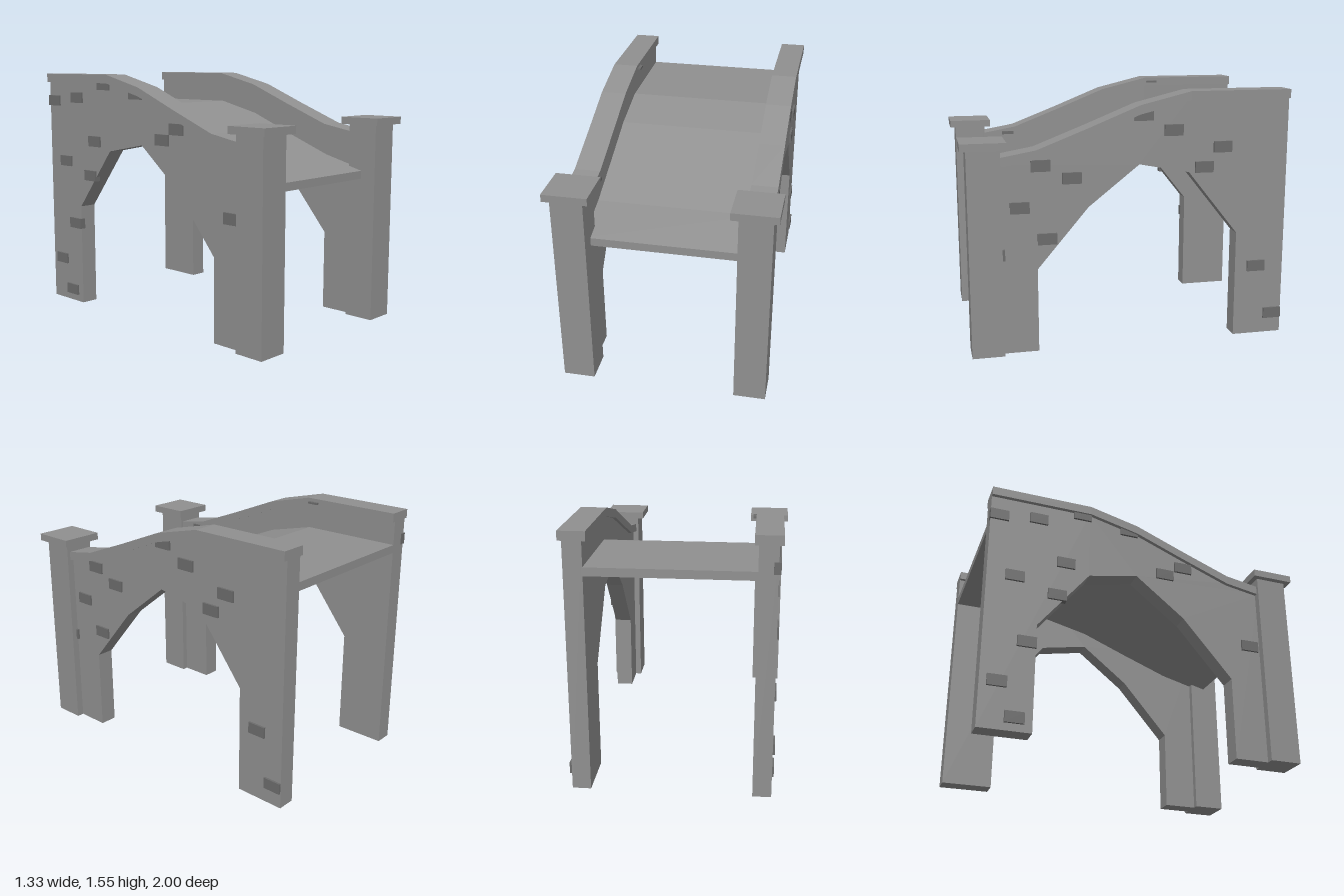
import * as THREE from 'three';

const masonry = new THREE.MeshStandardMaterial({ color: 0x909090, flatShading: true });
const darkStone = new THREE.MeshStandardMaterial({ color: 0x6c6c6c, flatShading: true });

// Height line of the parapet top, as [z, y] from front to back
const crest = [[0.79, 1.195], [0.56, 1.235], [0.25, 1.355], [-0.06, 1.48], [-0.37, 1.555], [-1, 1.555]];
const shifted = (line, dy) => line.map(([z, y]) => [z, y + dy]);

// Extrudes a [z, y] outline across x, centred on the given x
function slab(name, outline, width, x) {
  const shape = new THREE.Shape(outline.map(([z, y]) => new THREE.Vector2(z, y)));
  const geometry = new THREE.ExtrudeGeometry(shape, { depth: width, bevelEnabled: false });
  geometry.translate(0, 0, -width / 2).rotateY(-Math.PI / 2);
  const mesh = new THREE.Mesh(geometry, masonry);
  mesh.name = name;
  mesh.position.x = x;
  return mesh;
}

// Outline of a band that follows a line with constant vertical thickness
const band = (line, thickness) => [...line, ...shifted(line, -thickness).reverse()];

function box(name, material, w, h, d, x, y, z) {
  const mesh = new THREE.Mesh(new THREE.BoxGeometry(w, h, d), material);
  mesh.name = name;
  mesh.position.set(x, y, z);
  return mesh;
}

// Raised stones on the outer faces, as [z, y]
const leftStones = [[-0.085, 1.42], [-0.27, 1.325], [-0.58, 1.215], [-0.465, 1.095], [0.535, 1.14],
  [0.35, 1.06], [0.66, 0.895], [0.5, 0.7], [0.81, 0.615], [-0.82, 0.45], [-0.94, 0.13]];
const rightStones = [[-0.79, 0.08], [-0.9, 0.285], [-0.74, 0.55], [-0.57, 0.89], [-0.52, 1.12],
  [-0.83, 0.97], [-0.945, 1.375], [-0.7, 1.4], [-0.42, 1.49], [-0.11, 1.44], [0.13, 1.17],
  [0.255, 1.24], [0.7, 0.76]];

export function createModel() {
  const bridge = new THREE.Group();
  bridge.name = 'halfBridge';

  // Walkway following the parapet, a little lower
  const deckLine = shifted([[0.865, 1.155], ...crest.slice(1)], -0.2);
  bridge.add(slab('deck', band(deckLine, 0.05), 0.96, 0));

  // Side wall with the arch opening cut out of its underside
  const wallOutline = [...shifted(crest, -0.04),
    [-1, 0], [-0.685, 0], [-0.685, 0.67], [-0.37, 1.065], [-0.06, 1.125],
    [0.25, 0.88], [0.56, 0.515], [0.56, 0], [0.79, 0]];

  for (const side of [1, -1]) {
    const group = new THREE.Group();
    group.name = side > 0 ? 'leftSide' : 'rightSide';
    group.add(
      slab('archWall', wallOutline, 0.11, side * 0.53),
      slab('coping', band(crest, 0.055), 0.157, side * 0.531),
      box('pillar', masonry, 0.193, 1.26, 0.195, side * 0.5335, 0.63, 0.8675),
      box('pillarCap', masonry, 0.267, 0.045, 0.265, side * 0.53, 1.2695, 0.8675),
    );
    for (const [z, y] of side > 0 ? leftStones : rightStones) {
      group.add(box('stone', darkStone, 0.04, 0.068, 0.115, side * 0.578, y, z));
    }
    bridge.add(group);
  }

  // Small chips on the inner edge of the right coping
  bridge.add(box('copingChip', darkStone, 0.04, 0.012, 0.07, -0.452, 1.528, -0.415));
  bridge.add(box('copingChip', darkStone, 0.03, 0.02, 0.08, -0.456, 1.195, 0.61));
  return bridge;
}
